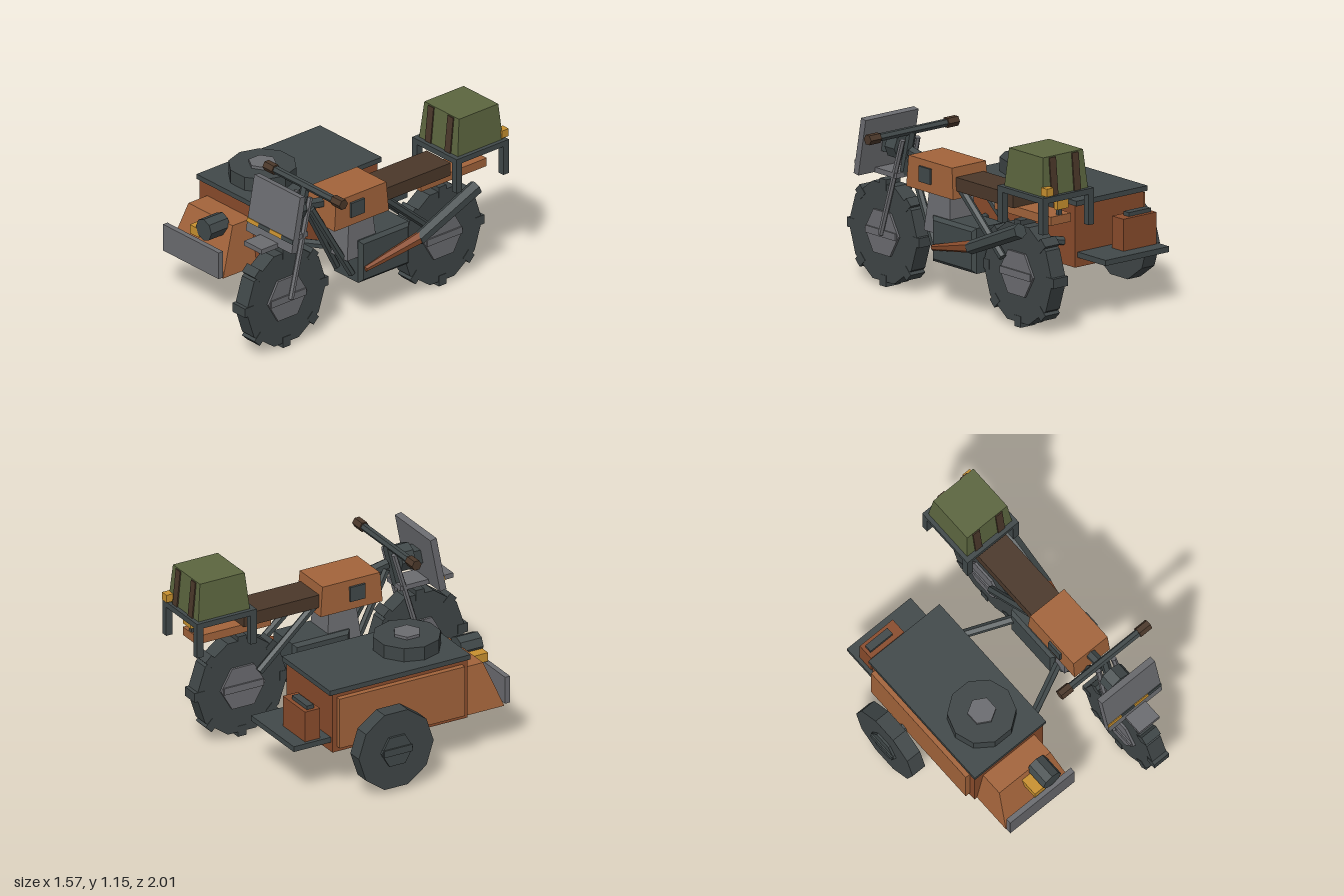
import * as THREE from 'three';

const mat = (name, color) => {
  const m = new THREE.MeshStandardMaterial({ color });
  m.name = name;
  return m;
};

export function createModel() {
  const root = new THREE.Group();
  root.name = 'sidecarMotorcycle';
  const slate = mat('slate', 0x41494a), steel = mat('steel', 0x6b6c70), orange = mat('orange paint', 0xa3643b),
    rust = mat('rust paint', 0x8a4c2c), leather = mat('leather', 0x4b382a), olive = mat('olive canvas', 0x5c663f),
    amber = mat('amber', 0xc9912f), rubber = mat('rubber', 0x3f4647);
  const CX = 0.435; // centre plane of the bike

  // Faceted mesh
  const add = (name, geo, m, parent = root) => {
    const g = geo.index ? geo.toNonIndexed() : geo;
    g.computeVertexNormals();
    const mesh = new THREE.Mesh(g, m);
    mesh.name = name;
    parent.add(mesh);
    return mesh;
  };
  // Box from its limits, top optionally reshaped to other x and z limits
  const box = (name, m, [x0, x1], [y0, y1], [z0, z1], top, parent = root) => {
    const g = new THREE.BoxGeometry(1, 1, 1), p = g.attributes.position;
    for (let i = 0; i < p.count; i++) {
      const up = p.getY(i) > 0;
      const [a, b, c, d] = up && top ? top : [x0, x1, z0, z1];
      p.setXYZ(i, p.getX(i) > 0 ? b : a, up ? y1 : y0, p.getZ(i) > 0 ? d : c);
    }
    return add(name, g, m, parent);
  };
  // Straight tube between two points
  const rod = (name, m, a, b, r0, r1 = r0, sides = 6) => {
    const A = new THREE.Vector3(...a), B = new THREE.Vector3(...b), d = B.clone().sub(A);
    const mesh = add(name, new THREE.CylinderGeometry(r1, r0, d.length(), sides), m);
    mesh.position.copy(A).add(B).multiplyScalar(0.5);
    mesh.quaternion.setFromUnitVectors(new THREE.Vector3(0, 1, 0), d.normalize());
    return mesh;
  };

  // Wheels
  const wheel = (name, x, y, z, r, w, hubR, hubMat, treads) => {
    const g = new THREE.Group();
    g.name = name;
    g.position.set(x, y, z);
    root.add(g);
    add('tire', new THREE.CylinderGeometry(r, r, w, 10).rotateZ(Math.PI / 2), rubber, g);
    add('hub', new THREE.CylinderGeometry(hubR, hubR, w + 0.03, 6).rotateZ(Math.PI / 2), hubMat, g);
    add('hubBar', new THREE.BoxGeometry(w + 0.05, 0.045, hubR * 1.8), hubMat, g);
    for (let i = 0; i < treads; i++) {
      add('tread', new THREE.BoxGeometry(w + 0.006, 0.07, 0.06).translate(0, 0.3, 0)
        .rotateX(i * Math.PI * 2 / treads), rubber, g);
    }
  };
  wheel('frontWheel', CX, 0.335, 0.67, 0.32, 0.11, 0.155, steel, 8);
  wheel('rearWheel', CX, 0.335, -0.58, 0.32, 0.11, 0.155, steel, 8);
  wheel('sidecarWheel', -0.71, 0.28, -0.175, 0.263, 0.1, 0.11, slate, 0);
  rod('sidecarAxle', slate, [-0.66, 0.28, -0.175], [-0.55, 0.34, -0.175], 0.03);

  // Fork, frame and struts
  for (const s of [-1, 1]) {
    rod('forkLeg', steel, [CX + s * 0.085, 0.33, 0.66], [CX + s * 0.06, 0.95, 0.485], 0.018);
    rod('downTube', slate, [CX + s * 0.07, 0.33, 0.16], [CX + s * 0.03, 0.85, 0.45], 0.024);
    rod('rearTube', slate, [CX + s * 0.08, 0.77, -0.08], [CX + s * 0.09, 0.42, -0.48], 0.026);
  }
  rod('topTube', slate, [CX, 0.87, 0.47], [CX, 0.82, 0.2], 0.035);
  rod('steeringStem', slate, [CX, 0.72, 0.54], [CX, 1.0, 0.47], 0.03);
  rod('frontStrut', slate, [-0.03, 0.41, 0.32], [0.36, 0.455, 0.145], 0.028);
  rod('rearStrut', slate, [-0.03, 0.41, -0.4], [0.36, 0.455, -0.22], 0.028);

  // Handlebar and grips
  rod('handlebar', slate, [0.12, 1.005, 0.47], [0.75, 1.005, 0.47], 0.025);
  rod('rightGrip', leather, [0.08, 1.005, 0.47], [0.165, 1.005, 0.47], 0.034);
  rod('leftGrip', leather, [0.7, 1.005, 0.47], [0.787, 1.005, 0.47], 0.034);

  // Headlight, fender and leaning shield with a striped band
  rod('headlight', slate, [CX, 0.89, 0.53], [CX, 0.89, 0.62], 0.088, 0.088, 8);
  box('headlightBracket', slate, [CX - 0.05, CX + 0.05], [0.84, 0.93], [0.6, 0.7]);
  box('frontFender', steel, [0.355, 0.515], [0.705, 0.737], [0.52, 0.89]);
  const shield = new THREE.Group();
  shield.name = 'shield';
  shield.position.set(CX, 0.89, 0.708);
  shield.rotation.x = -0.19;
  root.add(shield);
  box('shieldPlate', steel, [-0.21, 0.21], [-0.182, 0.182], [-0.022, 0.022], null, shield);
  for (let i = 0; i < 4; i++) {
    const x = -0.21 + i * 0.105;
    box('shieldStripe', i % 2 ? slate : amber, [x, x + 0.105], [-0.122, -0.096], [0.022, 0.028], null, shield);
  }

  // Tank, seat and tail
  box('tank', orange, [0.295, 0.575], [0.705, 0.9], [-0.078, 0.358], [0.3, 0.57, -0.062, 0.342]);
  box('kneePads', slate, [0.284, 0.586], [0.76, 0.857], [0.125, 0.232]);
  box('seat', leather, [0.325, 0.545], [0.755, 0.84], [-0.6, -0.07]);
  box('tailFender', orange, [0.355, 0.515], [0.703, 0.757], [-0.915, -0.39]);
  box('tailLight', amber, [0.39, 0.48], [0.8, 0.858], [-0.935, -0.905]);
  box('tailLightMount', slate, [0.42, 0.45], [0.75, 0.82], [-0.91, -0.885]);

  // Engine: cylinder block above a bevelled crankcase
  box('engineBlock', steel, [0.325, 0.545], [0.45, 0.71], [-0.015, 0.23], [0.345, 0.525, 0.01, 0.2]);
  const side = new THREE.Shape([[-0.18, -0.12], [0.18, -0.12], [0.18, 0.12], [-0.18, 0.12]]
    .map(([a, b]) => new THREE.Vector2(a, b)));
  const caseGeo = new THREE.ExtrudeGeometry(side, {
    depth: 0.22, bevelEnabled: true, bevelThickness: 0.022, bevelSize: 0.022, bevelSegments: 1,
  }).translate(0, 0, -0.11).rotateY(Math.PI / 2);
  add('crankcase', caseGeo, slate).position.set(CX, 0.417, -0.06);

  // Exhaust
  rod('exhaustPipe', rust, [0.575, 0.37, 0.11], [0.612, 0.465, -0.3], 0.018, 0.04);
  rod('muffler', slate, [0.612, 0.455, -0.28], [0.612, 0.655, -0.745], 0.042, 0.048);

  // Luggage rack
  for (const x of [0.253, 0.617]) {
    box('rackSideRail', slate, [x - 0.022, x + 0.022], [0.872, 0.908], [-0.985, -0.565]);
    for (const z of [-0.587, -0.963]) {
      box('rackLeg', slate, [x - 0.022, x + 0.022], [0.68, 0.875], [z - 0.022, z + 0.022]);
    }
  }
  for (const z of [-0.587, -0.963]) {
    box('rackCrossRail', slate, [0.232, 0.638], [0.872, 0.908], [z - 0.022, z + 0.022]);
  }
  box('rackLight', amber, [0.565, 0.62], [0.918, 0.968], [-1, -0.945]);

  // Pack and its straps
  box('pack', olive, [0.257, 0.613], [0.9, 1.147], [-0.96, -0.597], [0.278, 0.596, -0.937, -0.622]);
  for (const x of [0.345, 0.525]) {
    const xs = [x - 0.026, x + 0.026];
    box('packStrapFront', leather, xs, [0.905, 1.14], [-0.605, -0.589], [...xs, -0.63, -0.614]);
    box('packStrapBack', leather, xs, [0.905, 1.14], [-0.968, -0.952], [...xs, -0.945, -0.929]);
  }

  // Sidecar hull
  box('sidecarBody', rust, [-0.57, -0.025], [0.265, 0.657], [-0.51, 0.44]);
  box('sidecarLid', slate, [-0.58, -0.015], [0.655, 0.687], [-0.535, 0.455]);
  box('sidePanel', orange, [-0.605, -0.565], [0.3, 0.63], [-0.48, 0.4]);
  box('nose', orange, [-0.55, -0.045], [0.268, 0.567], [0.43, 0.71], [-0.5, -0.095, 0.43, 0.59]);
  box('bumper', steel, [-0.55, -0.04], [0.28, 0.457], [0.715, 0.75]);
  rod('sidecarLamp', slate, [-0.2, 0.545, 0.58], [-0.2, 0.545, 0.73], 0.071, 0.071, 8);
  box('sidecarIndicator', amber, [-0.333, -0.25], [0.472, 0.53], [0.6, 0.725]);

  // Spare wheel on the lid
  add('spareTire', new THREE.CylinderGeometry(0.21, 0.21, 0.09, 10).rotateY(Math.PI / 10), rubber)
    .position.set(-0.29, 0.73, 0.18);
  add('spareHub', new THREE.CylinderGeometry(0.088, 0.088, 0.11, 6), steel).position.set(-0.29, 0.738, 0.18);

  // Rear shelf with a strongbox
  box('rearShelf', slate, [-0.55, -0.045], [0.325, 0.36], [-0.77, -0.5]);
  box('strongbox', rust, [-0.527, -0.265], [0.36, 0.56], [-0.678, -0.572]);
  box('strongboxHandle', slate, [-0.505, -0.33], [0.56, 0.585], [-0.652, -0.603]);
  return root;
}
